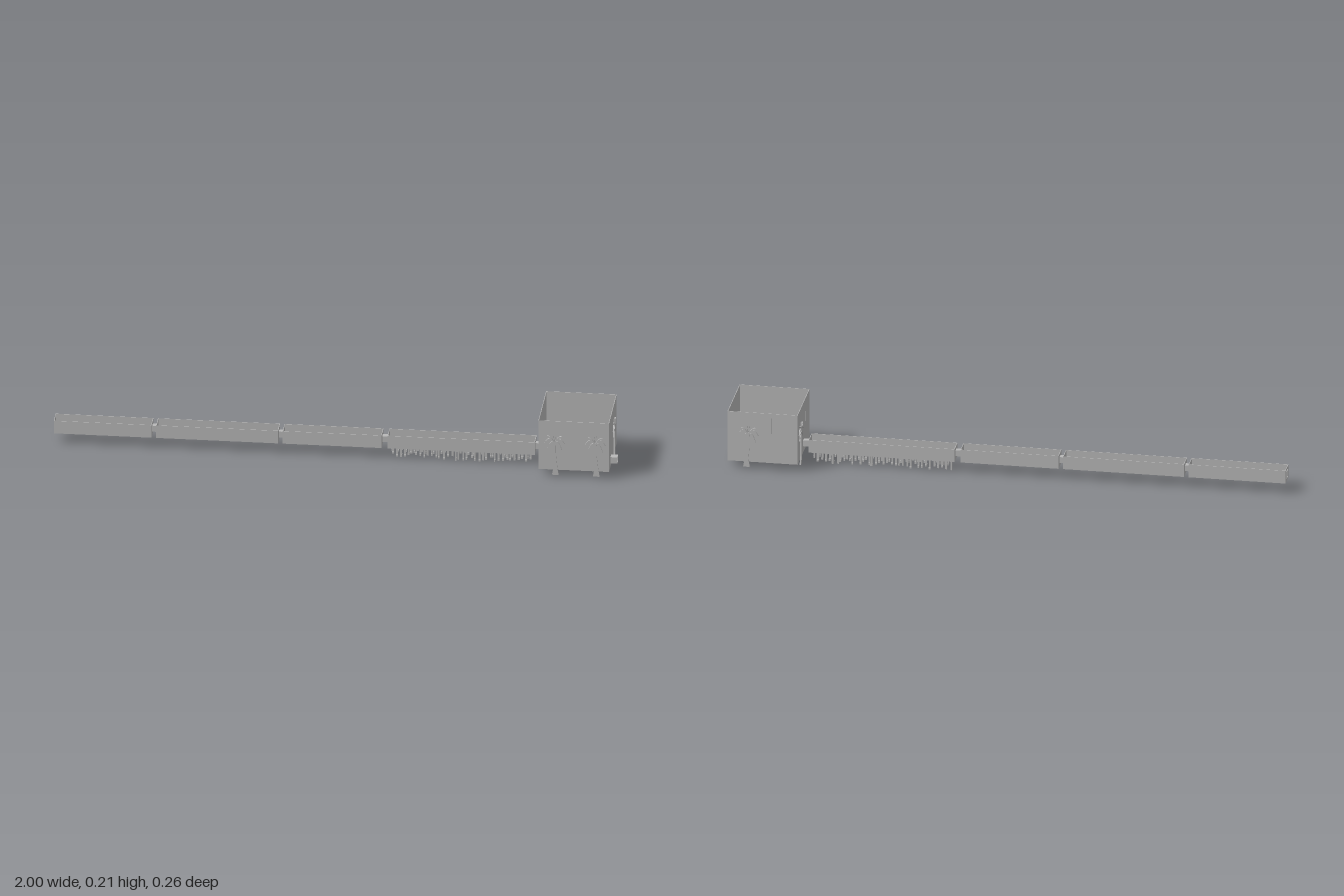
import * as THREE from 'three';

const grey = new THREE.MeshStandardMaterial({ color: 0xb8b8b8, side: THREE.DoubleSide });
grey.name = 'plain grey';

function add(parent, name, geometry, x = 0, y = 0, z = 0) {
  const mesh = new THREE.Mesh(geometry, grey);
  mesh.name = name;
  mesh.position.set(x, y, z);
  parent.add(mesh);
  return mesh;
}

// Box given by its minimum and maximum corners
function block(parent, name, x0, x1, y0, y1, z0, z1) {
  return add(parent, name, new THREE.BoxGeometry(x1 - x0, y1 - y0, z1 - z0),
    (x0 + x1) / 2, (y0 + y1) / 2, (z0 + z1) / 2);
}

// Open-topped container with thin walls
function openBox(name, x0, x1, y0, y1, z0, z1, t = 0.002) {
  const g = new THREE.Group();
  g.name = name;
  block(g, 'floor', x0, x1, y0, y0 + t, z0, z1);
  block(g, 'frontWall', x0, x1, y0, y1, z1 - t, z1);
  block(g, 'backWall', x0, x1, y0, y1, z0, z0 + t);
  block(g, 'leftWall', x1 - t, x1, y0, y1, z0, z1);
  block(g, 'rightWall', x0, x0 + t, y0, y1, z0, z1);
  return g;
}

function plate(points, depth) {
  const shape = new THREE.Shape(points.map(([x, y]) => new THREE.Vector2(x, y)));
  return new THREE.ExtrudeGeometry(shape, { depth, bevelEnabled: false });
}

// Flat palm relief facing +z, base at y = 0
function palm(lean) {
  const g = new THREE.Group();
  g.name = 'palm';
  const depth = 0.005;
  const trunk = [[-0.012, 0], [0.012, 0], [0.007, 0.03], [lean + 0.005, 0.08], [lean + 0.004, 0.128],
    [lean - 0.004, 0.128], [lean - 0.005, 0.08], [-0.006, 0.03]];
  add(g, 'trunk', plate(trunk, depth));
  // drooping fronds: [tip x, tip y, rise of the arch]
  for (const [tx, ty, rise] of [[0.036, -0.008, 0.024], [0.027, -0.034, 0.014], [0.026, 0.02, 0.012],
    [0.004, 0.026, 0.004]]) {
    for (const side of [-1, 1]) {
      const s = new THREE.Shape();
      s.moveTo(0, -0.003);
      s.quadraticCurveTo(side * tx * 0.55, ty * 0.3 + rise + 0.006, side * tx, ty);
      s.quadraticCurveTo(side * tx * 0.5, ty * 0.3 + rise - 0.012, 0, -0.003);
      add(g, 'frond', new THREE.ExtrudeGeometry(s, { depth, bevelEnabled: false, curveSegments: 5 }), lean, 0.128, 0);
    }
  }
  return g;
}

export function createModel() {
  const model = new THREE.Group();
  model.name = 'troughLine';

  // Four troughs in a row
  const spans = [[-1, -0.654], [-0.638, -0.206], [-0.19, 0.16], [0.181, 0.702]];
  spans.forEach(([a, b]) => model.add(openBox('trough', a, b, 0.04, 0.088, -0.031, 0.031)));

  // Short links between the containers
  spans.forEach(([, b], i) => {
    const next = i < 3 ? spans[i + 1][0] : 0.725;
    block(model, 'link', b, next, 0.054, 0.076, -0.01, 0.01);
  });

  // Low rails, a rib and small end frame
  for (const z of [-0.013, 0.013]) block(model, 'rail', -0.188, 0.158, 0.042, 0.045, z - 0.001, z + 0.001);
  block(model, 'rib', 0.354, 0.356, 0.042, 0.05, -0.029, 0.029);
  const frame = new THREE.Group();
  frame.name = 'endFrame';
  for (const s of [-1, 1]) {
    block(frame, 'frameSide', -1.002, -1, 0.05, 0.078, s * 0.012 - 0.0015, s * 0.012 + 0.0015);
    block(frame, 'frameRail', -1.002, -1, 0.064 + s * 0.0125 - 0.0015, 0.064 + s * 0.0125 + 0.0015, -0.012, 0.012);
  }
  model.add(frame);

  // Ragged rows of hanging pegs with small feet
  let seed = 7;
  const rnd = () => (seed = (seed * 16807) % 2147483647) / 2147483647;
  const count = 36;
  for (const row of [-1, 1]) {
    for (let i = 0; i < count; i++) {
      const x = 0.19 + (i + 0.2 + rnd() * 0.6) * 0.502 / count;
      const z = row * (0.015 + rnd() * 0.01);
      const bottom = 0.003 + rnd() * 0.018;
      const w = 0.0025 + rnd() * 0.0015;
      block(model, 'peg', x - w, x + w, bottom, 0.044, z - 0.004, z + 0.004);
      block(model, 'pegFoot', x - w, x + w, bottom, bottom + 0.008, z - 0.007, z + 0.007);
    }
  }

  // Large open tank
  const tank = openBox('tank', 0.725, 0.975, 0.03, 0.217, -0.125, 0.125);
  model.add(tank);
  const diamond = add(tank, 'floorDiamond', new THREE.BoxGeometry(0.048, 0.002, 0.048), 0.85, 0.033, 0);
  diamond.rotation.y = Math.PI / 4;
  for (const s of [-1, 1]) {
    const corner = add(tank, 'floorCorner', plate([[0, 0], [0.06, 0], [0, 0.05]], 0.002), 0.727, 0.033, s * 0.123);
    corner.rotation.x = s * Math.PI / 2;
    corner.scale.y = -1;
    if (s < 0) corner.position.y += 0.001;
  }

  // Square spout with a hollow end
  const spout = new THREE.Shape();
  spout.moveTo(-0.012, -0.012).lineTo(0.012, -0.012).lineTo(0.012, 0.012).lineTo(-0.012, 0.012);
  const hole = new THREE.Path();
  hole.moveTo(-0.009, -0.009).lineTo(-0.009, 0.009).lineTo(0.009, 0.009).lineTo(0.009, -0.009);
  spout.holes.push(hole);
  add(model, 'spout', new THREE.ExtrudeGeometry(spout, { depth: 0.025, bevelEnabled: false }), 0.975, 0.055, 0.068)
    .rotation.y = Math.PI / 2;

  // Palms on the tank walls: x, z, turn, lean
  for (const [x, z, turn, lean] of [[0.785, 0.125, 0, -0.003], [0.93, 0.125, 0, -0.004],
    [0.975, -0.024, Math.PI / 2, 0.006], [0.907, -0.125, Math.PI, 0.006], [0.725, -0.07, -Math.PI / 2, 0.004]]) {
    const p = palm(lean);
    p.position.set(x, 0.012, z);
    p.rotation.y = turn;
    model.add(p);
  }

  // Narrow strips on the back and right walls
  block(tank, 'backStrip', 0.819, 0.822, 0.14, 0.2, -0.127, -0.125);
  block(tank, 'rightStrip', 0.723, 0.725, 0.13, 0.165, 0.039, 0.042);
  return model;
}
